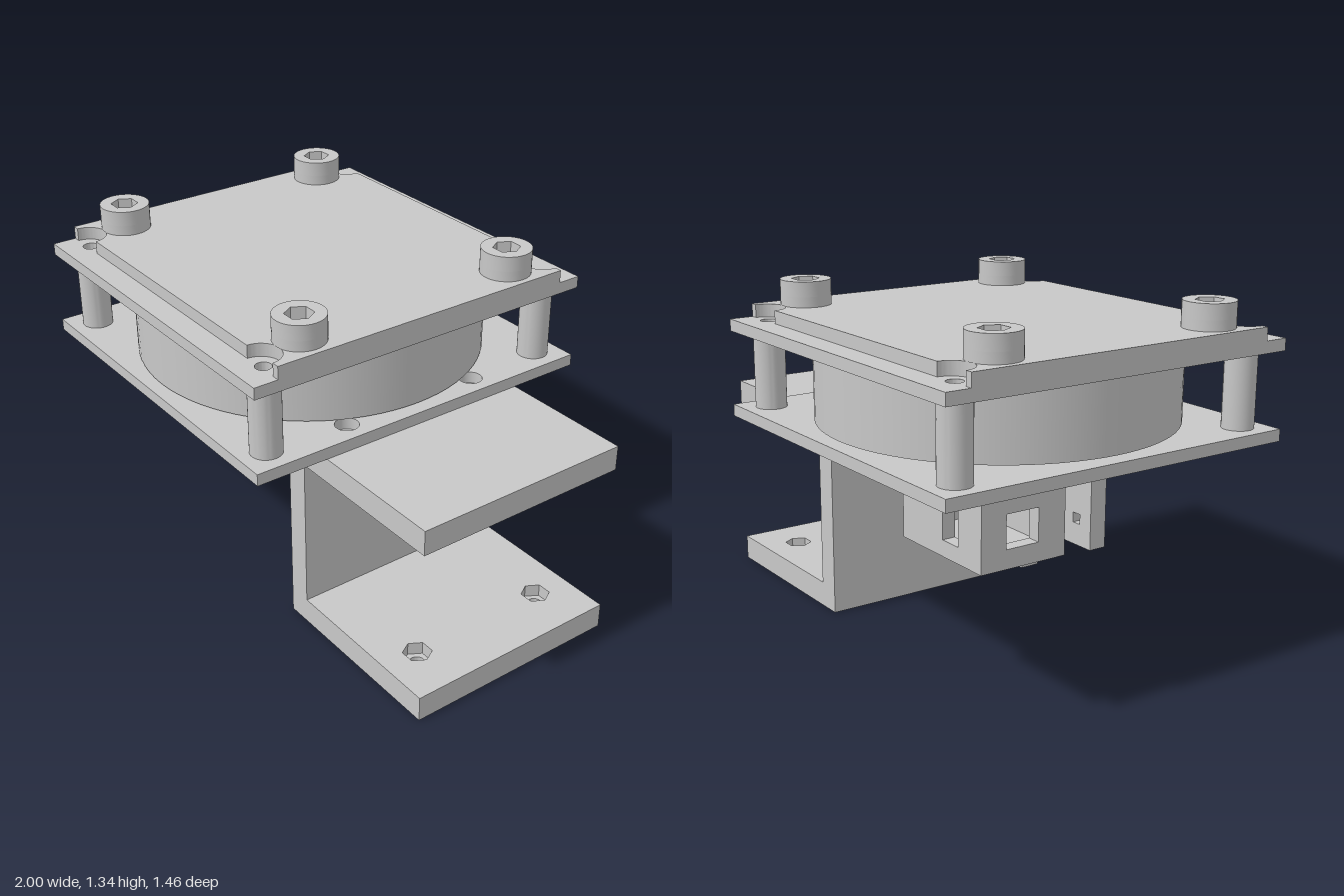
import * as THREE from 'three';
import { toCreasedNormals } from 'three/addons/utils/BufferGeometryUtils.js';

const grey = new THREE.MeshStandardMaterial({ color: 0xc8c8c8 });
grey.name = 'plain grey';

// Shape helpers
function rectPath(x0, y0, x1, y1, Type = THREE.Shape) {
  const p = new Type();
  p.moveTo(x0, y0).lineTo(x1, y0).lineTo(x1, y1).lineTo(x0, y1).closePath();
  return p;
}
function disc(x, y, r, Type = THREE.Path) {
  const p = new Type();
  p.absarc(x, y, r, 0, Math.PI * 2, false);
  return p;
}
function hexagon(x, y, r) {
  return new THREE.Path().setFromPoints(Array.from({ length: 7 }, (_, i) =>
    new THREE.Vector2(x + r * Math.cos(i * Math.PI / 3), y + r * Math.sin(i * Math.PI / 3))));
}
function extrude(shape, holes, depth) {
  shape.holes.push(...holes);
  const g = new THREE.ExtrudeGeometry(shape, { depth, bevelEnabled: false, curveSegments: 20 });
  return toCreasedNormals(g, 0.6);
}
// Horizontal slab: shape is drawn in (x, -z) and raised from y0 to y1
function slab(name, shape, holes, y0, y1) {
  const g = extrude(shape, holes, y1 - y0);
  g.rotateX(-Math.PI / 2).translate(0, y0, 0);
  return mesh(name, g);
}
// Upright panel facing z: shape is drawn in (x, y)
function panelZ(name, shape, holes, z0, z1) {
  return mesh(name, extrude(shape, holes, z1 - z0).translate(0, 0, z0));
}
// Upright panel facing x: shape is drawn in (-z, y)
function panelX(name, shape, holes, x0, x1) {
  return mesh(name, extrude(shape, holes, x1 - x0).rotateY(Math.PI / 2).translate(x0, 0, 0));
}
function mesh(name, geometry) {
  const m = new THREE.Mesh(geometry, grey);
  m.name = name;
  return m;
}
function box(name, x0, x1, y0, y1, z0, z1) {
  const g = new THREE.BoxGeometry(x1 - x0, y1 - y0, z1 - z0);
  return mesh(name, g.translate((x0 + x1) / 2, (y0 + y1) / 2, (z0 + z1) / 2));
}
function group(name, ...parts) {
  const g = new THREE.Group();
  g.name = name;
  g.add(...parts);
  return g;
}

export function createModel() {
  const model = group('mountAssembly');
  const corners = (xs, z) => xs.flatMap(x => [[x, z], [x, -z]]);
  const posts = corners([-0.893, 0.352], 0.622);
  const screws = corners([-0.88, 0.34], 0.465);
  const bolts = corners([0.37], 0.29);
  const feet = corners([0.8], 0.29);
  const holes = (list, r) => list.map(([x, z]) => disc(x, z, r));
  const sockets = (list, r) => list.map(([x, z]) => hexagon(x, z, r));
  const plate = () => rectPath(-1, -0.73, 0.46, 0.73);

  // Lower and upper plates
  model.add(
    slab('lowerPlate', plate(), [...holes(posts, 0.03), ...holes(bolts, 0.045),
      rectPath(-0.395, 0.265, -0.14, 0.52, THREE.Path)], 0.807, 0.853),
    slab('upperPlate', plate(), [...holes(posts, 0.03), ...holes(screws, 0.03)], 1.141, 1.187));

  // Cover with a round notch beside each post hole
  const cover = new THREE.Shape();
  cover.moveTo(-1, 0.635).lineTo(-1, -0.635);
  for (const x of [-0.893, 0.352]) cover.absarc(x, -0.635, 0.078, Math.PI, 0, true);
  cover.lineTo(0.46, -0.635).lineTo(0.46, 0.635);
  for (const x of [0.352, -0.893]) cover.absarc(x, 0.635, 0.078, 0, Math.PI, true);
  cover.closePath();
  model.add(slab('cover', cover, holes(screws, 0.03), 1.187, 1.237));

  // Round body between the plates
  const body = new THREE.CylinderGeometry(0.682, 0.682, 0.27, 80).translate(-0.27, 0.997, 0);
  model.add(mesh('roundBody', body));

  // Hollow spacer posts
  for (const [x, z] of posts) {
    model.add(slab('spacerPost', disc(x, z, 0.06, THREE.Shape), [disc(x, z, 0.03)], 0.853, 1.141));
  }

  // Socket screw heads
  for (const [x, z] of screws) {
    model.add(group('screwHead',
      slab('headBase', disc(x, z, 0.097, THREE.Shape), [disc(x, z, 0.03)], 1.237, 1.277),
      slab('headSocket', disc(x, z, 0.097, THREE.Shape), [hexagon(x, z, 0.053)], 1.277, 1.335)));
  }

  // C-shaped side bracket, with hex nut pockets on the inner faces of its flanges
  const flange = () => rectPath(0.315, -0.44, 1, 0.44);
  model.add(group('sideBracket',
    box('web', 0.22, 0.315, 0, 0.806, -0.44, 0.44),
    slab('topFlange', flange(), holes(bolts, 0.03), 0.76, 0.806),
    slab('topFlangePockets', flange(), sockets(bolts, 0.05), 0.708, 0.76),
    slab('bottomFlange', flange(), holes(feet, 0.03), 0, 0.05),
    slab('bottomFlangePockets', flange(), sockets(feet, 0.055), 0.05, 0.1)));

  // Hanging clamp: a foot and two drilled cheeks
  const pegHoles = () => [-0.6, -0.185].map(x =>
    rectPath(x - 0.019, 0.5, x + 0.019, 0.538, THREE.Path));
  const cheek = () => rectPath(-0.68, 0.417, -0.1, 0.755);
  model.add(group('hangingClamp',
    box('foot', -0.74, -0.04, 0.755, 0.807, -0.22, 0.22),
    panelZ('backCheek', cheek(), pegHoles(), -0.19, -0.12),
    panelZ('frontCheek', cheek(), pegHoles(), 0.12, 0.19)));

  // Hollow socket housing with openings at the back, the side and below
  model.add(group('socketHousing',
    panelZ('backWall', rectPath(-0.95, 0.552, -0.49, 0.807),
      [rectPath(-0.82, 0.61, -0.73, 0.74, THREE.Path)], -0.56, -0.51),
    box('frontWall', -0.95, -0.49, 0.552, 0.807, -0.27, -0.22),
    panelX('outerWall', rectPath(0.27, 0.552, 0.51, 0.807),
      [rectPath(0.33, 0.62, 0.46, 0.74, THREE.Path)], -0.95, -0.9),
    box('innerWall', -0.54, -0.49, 0.552, 0.807, -0.51, -0.27),
    slab('floor', rectPath(-0.9, 0.27, -0.54, 0.51),
      [disc(-0.58, 0.475, 0.022), disc(-0.58, 0.305, 0.022)], 0.552, 0.592)));

  return model;
}
